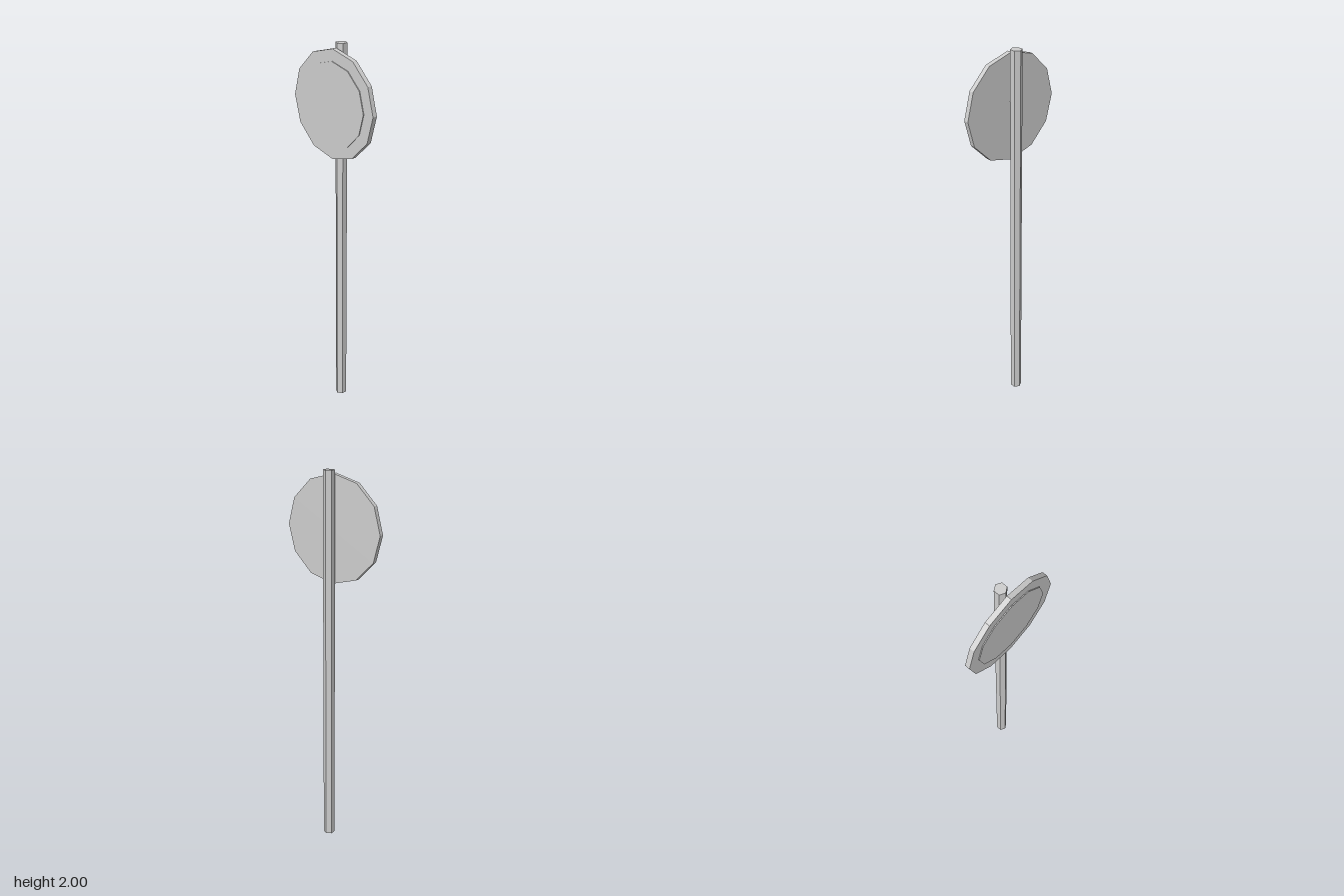
import * as THREE from 'three';

const SIGN_Y = 1.7;

export function createModel() {
  const model = new THREE.Group();
  model.name = 'roundRoadSign';
  const grey = new THREE.MeshStandardMaterial({ color: 0xcccccc, flatShading: true });
  grey.name = 'light grey';

  // Hexagonal post, set just behind the sign
  const post = new THREE.Mesh(new THREE.CylinderGeometry(0.03, 0.03, 2, 6), grey);
  post.name = 'post';
  post.position.set(0, 1, -0.018);
  model.add(post);

  // Twelve-sided disc facing the front, spanning zBack to zFront
  function addDisc(name, radius, zBack, zFront) {
    const geometry = new THREE.CylinderGeometry(radius, radius, zFront - zBack, 12);
    geometry.rotateX(Math.PI / 2);
    const disc = new THREE.Mesh(geometry, grey);
    disc.name = name;
    disc.position.set(0, SIGN_Y, (zBack + zFront) / 2);
    model.add(disc);
  }

  addDisc('signPlate', 0.278, 0.017, 0.043);
  // Thin raised face on the front of the plate
  addDisc('signFace', 0.218, 0.041, 0.0475);

  return model;
}
